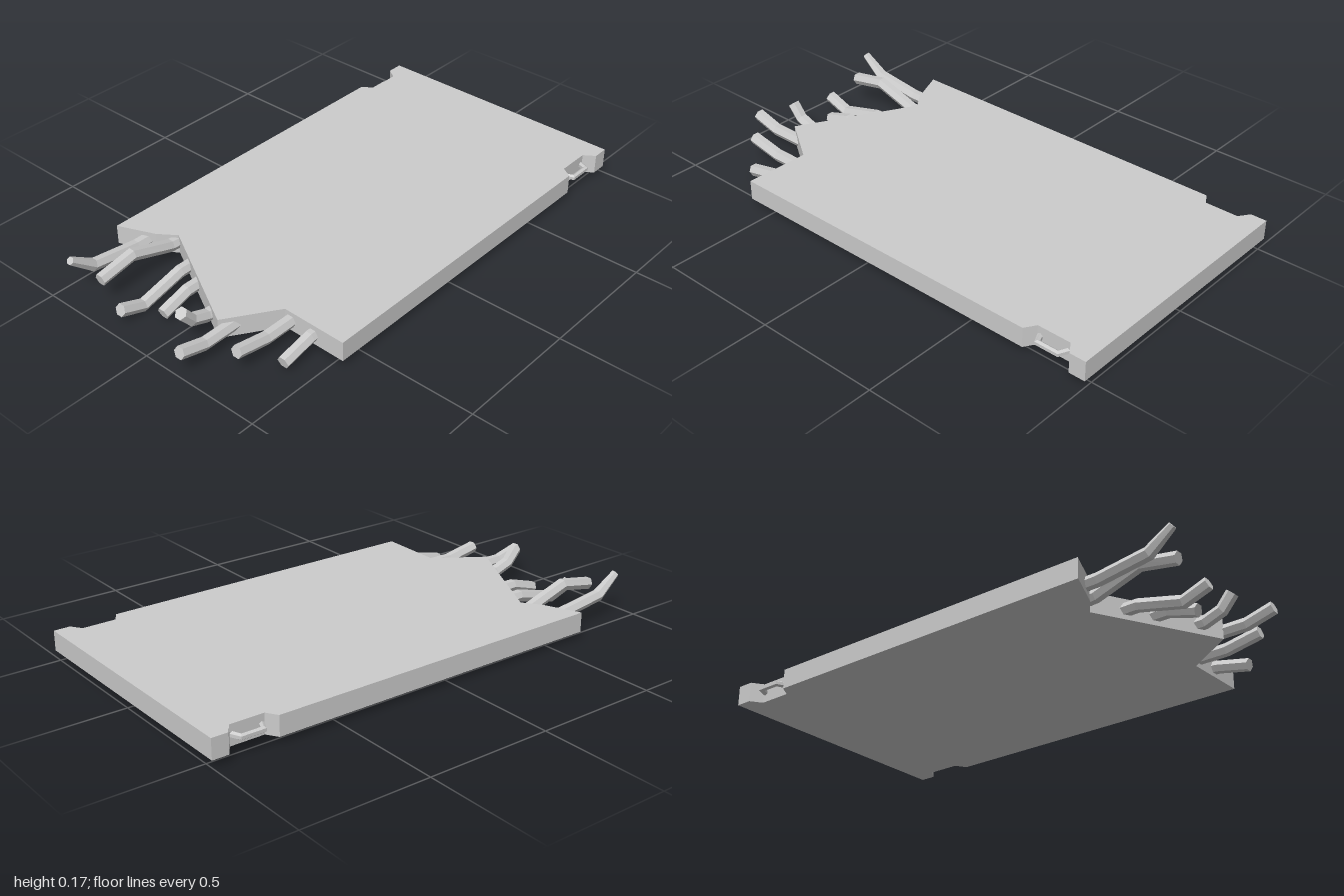
import * as THREE from 'three';

const material = new THREE.MeshStandardMaterial({ color: 0xcccccc, flatShading: true });

// Six-sided bar bent along a path; side is the fixed axis across the bend plane.
function bentBar(name, points, radii, side) {
  const n = points.length;
  const geo = new THREE.CylinderGeometry(1, 1, n - 1, 6, n - 1).rotateY(Math.PI / 2);
  const pos = geo.attributes.position;
  const rings = points.map((p, i) => {
    const dirIn = p.clone().sub(points[Math.max(i - 1, 0)]).normalize();
    const dirOut = points[Math.min(i + 1, n - 1)].clone().sub(p).normalize();
    const tangent = dirIn.add(dirOut).normalize();
    return { p, r: radii[i], normal: side.clone().cross(tangent) };
  });
  const v = new THREE.Vector3();
  for (let k = 0; k < pos.count; k++) {
    v.fromBufferAttribute(pos, k);
    const { p, r, normal } = rings[Math.round(v.y + (n - 1) / 2)];
    const out = p.clone().addScaledVector(side, v.x * r).addScaledVector(normal, v.z * r);
    pos.setXYZ(k, out.x, out.y, out.z);
  }
  geo.computeVertexNormals();
  const mesh = new THREE.Mesh(geo, material);
  mesh.name = name;
  return mesh;
}

export function createModel() {
  const group = new THREE.Group();
  group.name = 'brokenSlab';

  // Slab with side notches at the back and a jagged front edge, outlined as (x, z)
  const outline = [
    [-0.537, -1], [0.537, -1], [0.537, -0.935], [0.493, -0.905], [0.493, -0.77], [0.537, -0.742],
    [0.537, 0.605], [0.27, 0.6], [0.14, 0.795], [-0.32, 0.545], [-0.39, 0.595], [-0.537, 0.655],
    [-0.537, -0.742], [-0.493, -0.77], [-0.493, -0.905], [-0.537, -0.935],
  ];
  const shape = new THREE.Shape(outline.map(([x, z]) => new THREE.Vector2(x, -z)));
  const slabGeo = new THREE.ExtrudeGeometry(shape, { depth: 0.079, bevelEnabled: false });
  slabGeo.rotateX(-Math.PI / 2).translate(0, 0.033, 0);
  const slab = new THREE.Mesh(slabGeo, material);
  slab.name = 'slab';
  group.add(slab);

  // Bent reinforcing bars sticking out of the broken edge: x, then [z, y] along the bar
  const bars = [
    [-0.43, [[0.5, 0.073], [0.66, 0.073], [0.86, 0.1], [0.955, 0.17]]],
    [-0.33, [[0.45, 0.073], [0.58, 0.08], [0.76, 0.138], [0.91, 0.11]]],
    [-0.195, [[0.5, 0.073], [0.66, 0.073], [0.84, 0.028], [0.94, 0.064]]],
    [-0.095, [[0.55, 0.073], [0.72, 0.073], [0.835, 0.038]]],
    [0.06, [[0.6, 0.073], [0.77, 0.075], [0.84, 0.1], [0.885, 0.153]]],
    [0.16, [[0.65, 0.073], [0.88, 0.073], [0.99, 0.103]]],
    [0.295, [[0.5, 0.073], [0.72, 0.073], [0.86, 0.1]]],
    [0.4, [[0.5, 0.073], [0.62, 0.07], [0.75, 0.042]]],
  ];
  const xAxis = new THREE.Vector3(1, 0, 0);
  bars.forEach(([x, path], i) => {
    const points = path.map(([z, y]) => new THREE.Vector3(x, y, z));
    // The first bar narrows at its tip
    const radii = path.map((_, k) => (i === 0 && k === path.length - 1 ? 0.016 : 0.025));
    group.add(bentBar('reinforcingBar' + (i + 1), points, radii, xAxis));
  });

  // Lifting loop in each side notch
  const yAxis = new THREE.Vector3(0, 1, 0);
  for (const s of [1, -1]) {
    const points = [[0.48, -0.9], [0.525, -0.88], [0.525, -0.795], [0.48, -0.775]]
      .map(([x, z]) => new THREE.Vector3(s * x, 0.073, z));
    group.add(bentBar(s > 0 ? 'leftLoop' : 'rightLoop', points, [0.012, 0.012, 0.012, 0.012], yAxis));
  }
  return group;
}
